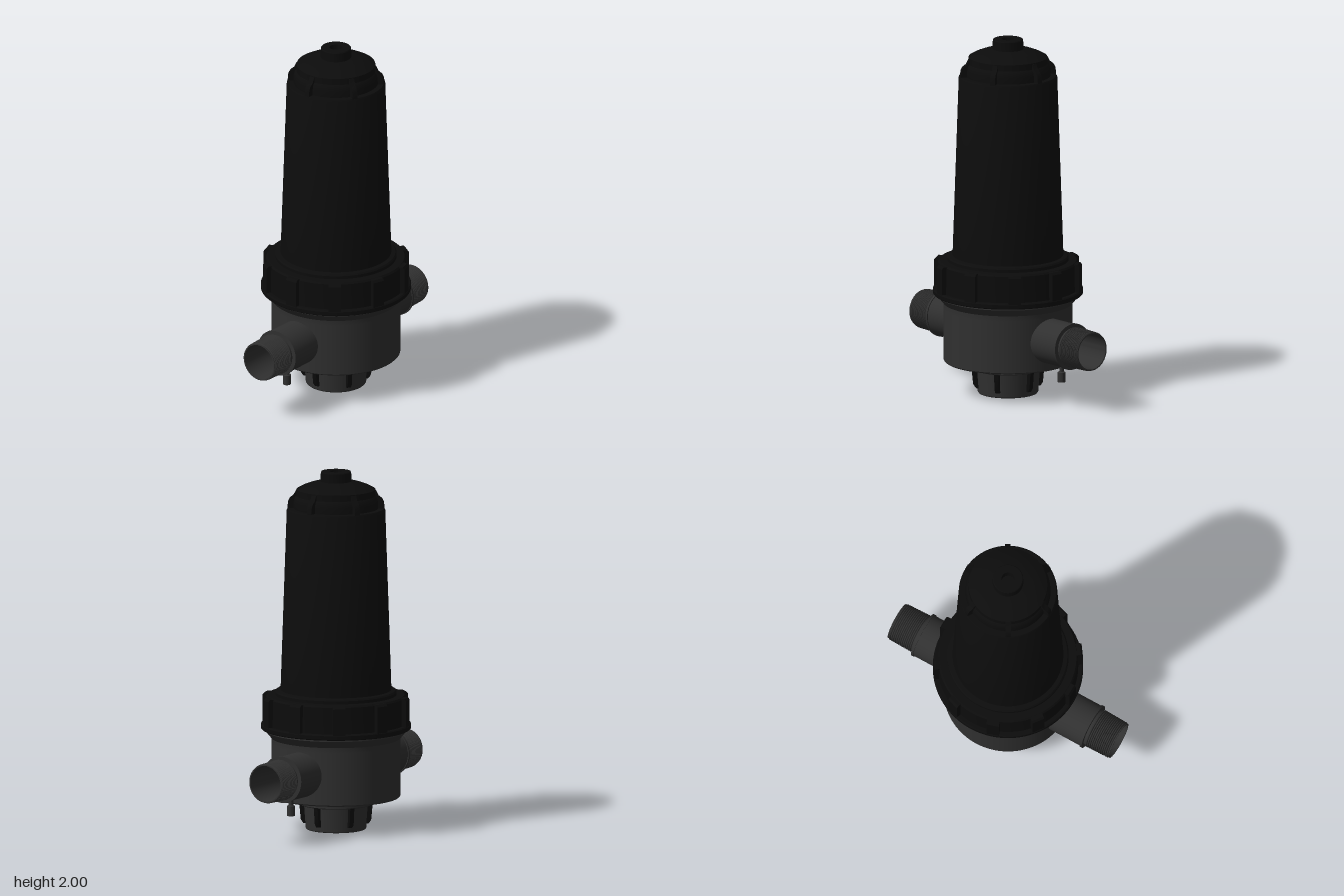
import * as THREE from 'three';
import { toCreasedNormals } from 'three/addons/utils/BufferGeometryUtils.js';

const black = new THREE.MeshStandardMaterial({ color: 0x0c0c0c });
black.name = 'black plastic';
const grey = new THREE.MeshStandardMaterial({ color: 0x303030 });
grey.name = 'dark grey plastic';

const PORT_Y = 0.35;
const BORE = 0.1;

// Turned part from [radius, height] points, listed so that outer walls run upward
function turned(points, segments = 96) {
  return new THREE.LatheGeometry(points.map(([r, y]) => new THREE.Vector2(r, y)), segments);
}

function mesh(name, geometry, material) {
  const m = new THREE.Mesh(toCreasedNormals(geometry, 0.55), material);
  m.name = name;
  return m;
}

// Evenly spaced vertical ribs, the first on +z; outline is [radius, height] points
function ribs(name, outline, width, count, material) {
  const shape = new THREE.Shape(outline.map(([r, y]) => new THREE.Vector2(r, y)));
  const geometry = new THREE.ExtrudeGeometry(shape, { depth: width, bevelEnabled: false });
  geometry.translate(0, 0, -width / 2);
  geometry.rotateY(-Math.PI / 2);
  const group = new THREE.Group();
  group.name = name;
  for (let i = 0; i < count; i++) {
    const rib = mesh('rib', geometry, material);
    rib.rotation.y = (i / count) * Math.PI * 2;
    group.add(rib);
  }
  return group;
}

// Lower body, opened where the ports pass through the wall
function bodyGeometry() {
  const points = [[0, 0.18], [0.348, 0.18], [0.355, 0.187]];
  for (let y = 0.2; y < 0.495; y += 0.01) points.push([0.355, y]);
  points.push([0.357, 0.51], [0.39, 0.55], [0.39, 0.565], [0, 0.565]);
  const geometry = turned(points, 192);
  const pos = geometry.attributes.position;
  const open = (i) => Math.hypot(pos.getX(i), pos.getY(i) - PORT_Y) < BORE + 0.003;
  const index = geometry.index.array;
  const kept = [];
  for (let i = 0; i < index.length; i += 3) {
    const tri = [index[i], index[i + 1], index[i + 2]];
    if (!tri.some(open)) kept.push(...tri);
  }
  geometry.setIndex(kept);
  return geometry;
}

// Pipe port with collar, threaded end and test valve, pointing to +z
function port(name) {
  const group = new THREE.Group();
  group.name = name;
  const points = [[0.125, 0.28], [0.125, 0.53], [0.13, 0.53], [0.13, 0.543], [0.107, 0.543]];
  const turns = 13;
  for (let i = 0; i < turns; i++) {
    const z = 0.555 + i * 0.011;
    const crest = 0.114 - 0.004 * (i / turns);
    points.push([crest - 0.007, z], [crest, z + 0.004], [crest, z + 0.007], [crest - 0.007, z + 0.011]);
  }
  points.push([0.107, 0.705], [BORE, 0.705], [BORE, 0]);
  const pipe = mesh('threadedPipe', turned(points, 64).rotateX(Math.PI / 2), grey);
  pipe.position.y = PORT_Y;
  group.add(pipe);

  const valve = mesh('testValve', turned([
    [0, 0.135], [0.022, 0.135], [0.022, 0.19], [0.013, 0.195], [0.013, 0.235],
  ], 20), grey);
  valve.position.z = 0.45;
  group.add(valve);
  return group;
}

export function createModel() {
  const model = new THREE.Group();
  model.name = 'filterHousing';

  // Tapered cover with stepped shoulder, dome and hollow top knob
  model.add(mesh('cover', turned([
    [0.335, 0.74], [0.335, 0.768], [0.328, 0.776], [0.306, 0.78], [0.272, 1.785], [0.266, 1.795],
    [0.235, 1.795], [0.234, 1.83], [0.228, 1.855], [0.219, 1.865], [0.217, 1.9],
    [0.185, 1.917], [0.14, 1.934], [0.085, 1.945], [0.084, 1.995], [0.08, 2],
    [0.036, 2], [0.036, 1.95], [0, 1.95],
  ]), black));
  model.add(ribs('shoulderRibs', [
    [0.18, 1.78], [0.268, 1.78], [0.265, 1.83], [0.255, 1.85], [0.235, 1.865], [0.22, 1.895], [0.18, 1.895],
  ], 0.03, 6, black));

  // Locking ring with bottom lip and grip ribs
  model.add(mesh('lockingRing', turned([
    [0.34, 0.56], [0.408, 0.56], [0.415, 0.566], [0.415, 0.586], [0.408, 0.592], [0.388, 0.592],
    [0.386, 0.74], [0.378, 0.75], [0.3, 0.752],
  ]), black));
  model.add(ribs('gripRibs', [
    [0.36, 0.58], [0.412, 0.58], [0.412, 0.735], [0.402, 0.748], [0.36, 0.748],
  ], 0.07, 10, black));

  // Lower body and opposed ports
  model.add(mesh('lowerBody', bodyGeometry(), grey));
  model.add(port('frontPort'));
  const backPort = port('backPort');
  backPort.rotation.y = Math.PI;
  model.add(backPort);

  // Drain neck and cap
  model.add(mesh('drainNeck', turned([[0.155, 0.15], [0.155, 0.185]]), grey));
  model.add(mesh('drainCap', turned([
    [0, 0], [0.163, 0], [0.167, 0.005], [0.177, 0.138], [0.198, 0.138], [0.204, 0.143],
    [0.204, 0.157], [0.198, 0.163], [0.14, 0.163],
  ]), grey));
  model.add(ribs('capRibs', [
    [0.15, 0.03], [0.18, 0.03], [0.194, 0.05], [0.203, 0.145], [0.15, 0.145],
  ], 0.025, 6, black));

  return model;
}
